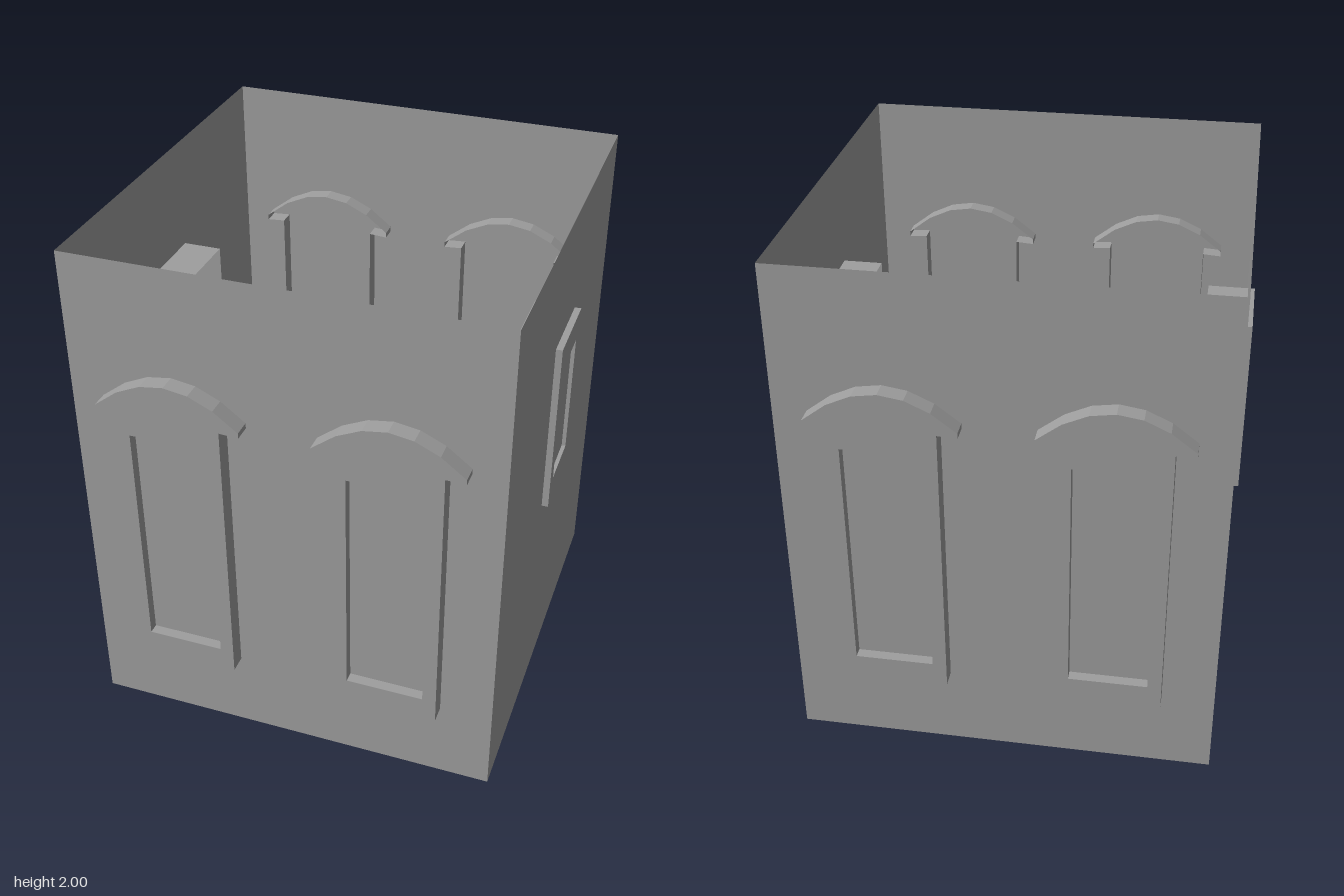
import * as THREE from 'three';

const material = new THREE.MeshStandardMaterial({
  color: 0x9e9e9e, flatShading: true, side: THREE.DoubleSide,
});

// Open band that sweeps a closed outline from z0 to z1 (counter-clockwise faces outward)
function band(points, z0, z1) {
  const v = [];
  points.forEach(([ax, ay], i) => {
    const [bx, by] = points[(i + 1) % points.length];
    v.push(ax, ay, z0, bx, by, z0, bx, by, z1, ax, ay, z0, bx, by, z1, ax, ay, z1);
  });
  const g = new THREE.BufferGeometry();
  g.setAttribute('position', new THREE.Float32BufferAttribute(v, 3));
  g.computeVertexNormals();
  return g;
}

function rect(x, y0, y1) {
  return [[-x, y0], [x, y0], [x, y1], [-x, y1]];
}

function addMesh(parent, name, geometry) {
  const mesh = new THREE.Mesh(geometry, material);
  mesh.name = name;
  parent.add(mesh);
  return mesh;
}

// Hollow surround: rim runs through the wall (z = 0), a shallow reveal leads to the pane
function windowSurround(name, outline, opening, back, front, recess) {
  const group = new THREE.Group();
  group.name = name;
  const toVectors = (pts) => pts.map(([x, y]) => new THREE.Vector2(x, y));
  const shape = new THREE.Shape(toVectors(outline));
  shape.holes.push(new THREE.Path(toVectors(opening)));
  const pane = new THREE.Shape(toVectors(opening));
  addMesh(group, 'surroundFace', new THREE.ShapeGeometry(shape).translate(0, 0, front));
  addMesh(group, 'surroundRim', band(outline, back, front));
  addMesh(group, 'windowReveal', band([...opening].reverse(), front - recess, front));
  addMesh(group, 'windowPane', new THREE.ShapeGeometry(pane).translate(0, 0, front - recess));
  return group;
}

// Tall window outline with a faceted curved hood overhanging the frame
function hoodedOutline() {
  const pts = [[-0.199, 0.327], [0.199, 0.327], [0.199, 1.435], [0.272, 1.43]];
  const steps = 6;
  for (let i = 0; i <= steps; i++) {
    const x = 0.272 - (0.544 * i) / steps;
    pts.push([x, 1.577 - 1.7 * x * x]);
  }
  pts.push([-0.272, 1.43], [-0.199, 1.435]);
  return pts;
}

export function createModel() {
  const model = new THREE.Group();
  model.name = 'towerStorey';

  // Thin walls, open above and below
  const walls = addMesh(model, 'walls', band(
    [[-0.8, -0.8], [0.8, -0.8], [0.8, 0.8], [-0.8, 0.8]], 0, 2));
  walls.geometry.rotateX(-Math.PI / 2);

  // Two hooded windows on the front and on the back
  const hood = hoodedOutline();
  for (const [side, s] of [['front', 1], ['back', -1]]) {
    for (const x of [-0.404, 0.402]) {
      const w = windowSurround(side + 'HoodedWindow', hood,
        rect(0.147, 0.42, 1.348), -0.065, 0.067, 0.04);
      w.position.set(x, 0, 0.8 * s);
      w.rotation.y = s > 0 ? 0 : Math.PI;
      model.add(w);
    }
  }

  // One small plain window on each side
  for (const [side, s] of [['left', 1], ['right', -1]]) {
    const w = windowSurround(side + 'SmallWindow', rect(0.161, 0.867, 1.567),
      rect(0.111, 0.972, 1.459), -0.152, 0.025, 0.015);
    w.position.x = 0.8 * s;
    w.rotation.y = (s * Math.PI) / 2;
    model.add(w);
  }

  return model;
}
